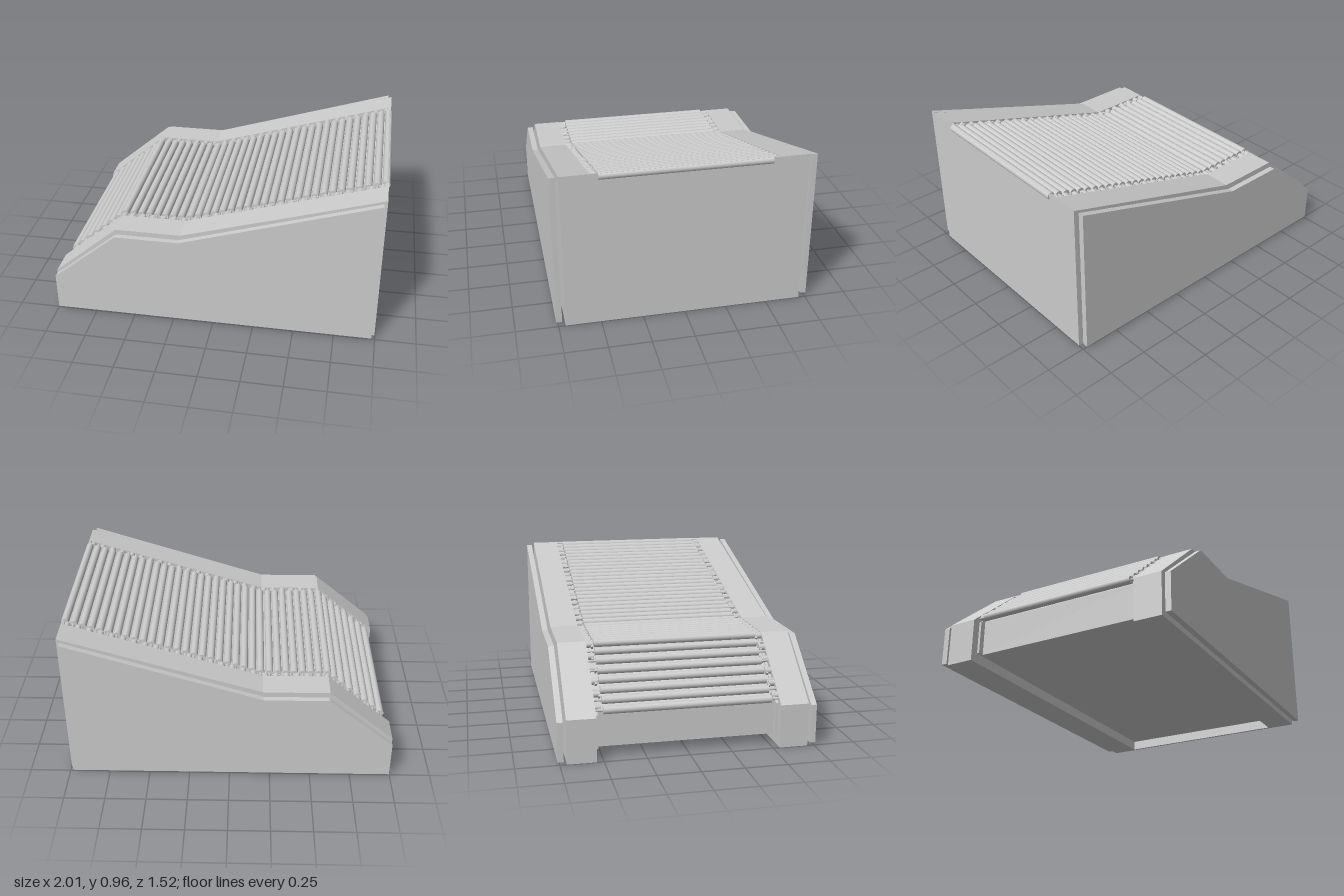
import * as THREE from 'three';

const material = new THREE.MeshStandardMaterial({ color: 0xcccccc });

// Top line of the conveyor, from the low end to the high end
const TOP = [[-1, 0.26], [-0.6, 0.6], [-0.2, 0.6], [1, 0.96]];

// Segment of the top line under x: its height, slope angle and normal
function trackAt(x) {
  let i = 0;
  while (i < TOP.length - 2 && x > TOP[i + 1][0]) i++;
  const [x0, y0] = TOP[i], [x1, y1] = TOP[i + 1];
  const angle = Math.atan2(y1 - y0, x1 - x0);
  return { y: y0 + (x - x0) * Math.tan(angle), angle };
}

function addMesh(parent, name, geometry, x = 0, y = 0, z = 0) {
  const mesh = new THREE.Mesh(geometry, material);
  mesh.name = name;
  mesh.position.set(x, y, z);
  parent.add(mesh);
  return mesh;
}

// Side profile closed along the bottom and extruded from z0 to z1
function profileSlab(top, bottom, z0, z1) {
  const points = [[top[0][0], bottom], [top[top.length - 1][0], bottom], ...[...top].reverse()];
  const shape = new THREE.Shape(points.map(([x, y]) => new THREE.Vector2(x, y)));
  return new THREE.ExtrudeGeometry(shape, { depth: z1 - z0, bevelEnabled: false }).translate(0, 0, z0);
}

export function createModel() {
  const group = new THREE.Group();
  group.name = 'rollerConveyor';

  // Side rails and the loose cover panels standing just outside them
  const railTop = [TOP[0], TOP[1], TOP[2], [0.985, 0.9555]];
  const panelTop = [[-0.995, 0.248], [-0.593, 0.58], [-0.203, 0.58], [0.98, 0.948]];
  for (const side of [1, -1]) {
    const label = side > 0 ? 'left' : 'right';
    const span = (a, b) => (side > 0 ? [a, b] : [-b, -a]);
    addMesh(group, label + 'Rail', profileSlab(railTop, 0, ...span(0.54, 0.71)));
    addMesh(group, label + 'CoverPanel', profileSlab(panelTop, 0.015, ...span(0.727, 0.762)));
    // Thin bearing strip between rollers and rail
    const strip = [[-0.95, 0.26], [-0.59, 0.565], [-0.2, 0.565], [0.985, 0.92]];
    addMesh(group, label + 'BearingStrip', profileSlab(strip, 0.06, ...span(0.525, 0.54)));
  }

  // Recessed body under the rollers
  const bodyTop = [[-0.915, 0.275], [-0.585, 0.555], [-0.195, 0.555], [0.985, 0.905]];
  addMesh(group, 'body', profileSlab(bodyTop, 0.06, -0.53, 0.53));

  // End wall at the high end
  addMesh(group, 'endWall', profileSlab([[0.982, 0.9546], [0.999, 0.96]], 0, -0.71, 0.71));

  // Rollers, each set slightly proud of the rails
  const rollers = new THREE.Group();
  rollers.name = 'rollers';
  group.add(rollers);
  const rollerGeometry = new THREE.CylinderGeometry(0.023, 0.023, 0.99, 16).rotateX(Math.PI / 2);
  const axleGeometry = new THREE.CylinderGeometry(0.008, 0.008, 1.08, 8).rotateX(Math.PI / 2);
  const count = 39;
  for (let i = 0; i < count; i++) {
    const along = -0.955 + (i * 1.937) / (count - 1);
    const { y, angle } = trackAt(along);
    const px = along + 0.015 * Math.sin(angle);
    const py = y - 0.015 * Math.cos(angle);
    addMesh(rollers, 'roller', rollerGeometry, px, py);
    addMesh(rollers, 'axle', axleGeometry, px, py);
  }

  // Drive chain along both roller ends: bushings joined by link plates
  const chains = new THREE.Group();
  chains.name = 'driveChains';
  group.add(chains);
  const bushing = new THREE.CylinderGeometry(0.02, 0.02, 0.036, 12).rotateX(Math.PI / 2);
  const link = new THREE.BoxGeometry(0.05, 0.022, 0.012);
  for (let i = 0; i < 30; i++) {
    const along = -0.935 + i * 0.0655;
    const { y, angle } = trackAt(along);
    for (const side of [1, -1]) {
      const px = along + 0.02 * Math.sin(angle);
      const py = y - 0.02 * Math.cos(angle);
      addMesh(chains, 'chainBushing', bushing, px, py, side * 0.522);
      const plate = addMesh(chains, 'chainLink', link, px, py, side * (i % 2 ? 0.505 : 0.514));
      plate.rotation.z = angle;
    }
  }
  return group;
}
